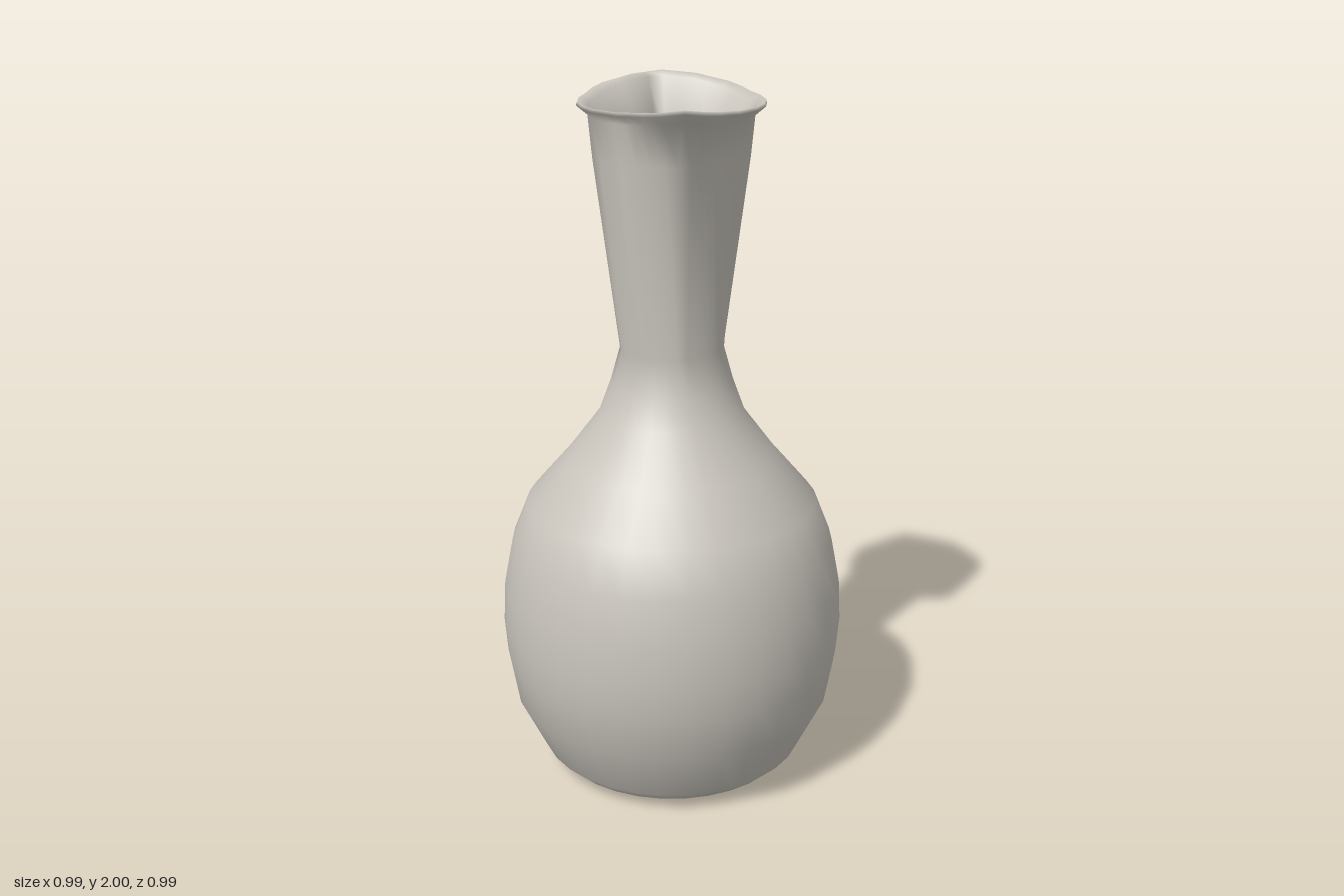
import * as THREE from 'three';

const SIDES = 32;
const rad = THREE.MathUtils.degToRad;

// Corners are [degrees, radius], measured from the front (0) towards the left (90).
const mirrored = (half) => [
  ...half,
  ...half.filter(([d]) => d > 0 && d < 180).reverse().map(([d, r]) => [360 - d, r]),
];
const LIP = mirrored([[0, 0.312], [9, 0.307], [76, 0.25], [95, 0.262], [131, 0.257], [180, 0.27]]);
const LIP_HEIGHTS = [1.965, 1.95, 1.942, 1.942, 1.95, 1.96, 1.978, 1.995, 2.0];
const NECK_TOP = [[0, 0.183], [90, 0.215], [135, 0.213], [180, 0.218], [270, 0.215], [315, 0.213]];
const THROAT = [[0, 0.172], [90, 0.152], [180, 0.17], [290, 0.165]];
const GULLET = [[45, 0.122], [180, 0.126], [315, 0.122]];

// Radius at an angle of an outline with straight edges between its corners.
function outlineRadius(corners, degrees) {
  const n = corners.length;
  for (let i = 0; i < n; i++) {
    const [d0, r0] = corners[i], [d1, r1] = corners[(i + 1) % n];
    const span = (d1 - d0 + 360) % 360, t = (degrees - d0 + 360) % 360;
    if (t <= span) {
      return (r0 * r1 * Math.sin(rad(span)))
        / (r0 * Math.sin(rad(t)) + r1 * Math.sin(rad(span - t)));
    }
  }
  return corners[0][1];
}

// Lip height runs from the front spout up to the back.
function lipHeight(degrees) {
  const t = (Math.min(degrees, 360 - degrees) / 180) * (LIP_HEIGHTS.length - 1);
  const i = Math.min(Math.floor(t), LIP_HEIGHTS.length - 2);
  return THREE.MathUtils.lerp(LIP_HEIGHTS[i], LIP_HEIGHTS[i + 1], t - i);
}

// Each kind of ring returns [radius, height] for an angle.
const round = (y, r) => () => [r, y];
const outline = (y, corners) => (d) => [outlineRadius(corners, d), y];
const lip = (dr, dy) => (d) => [outlineRadius(LIP, d) + dr, lipHeight(d) + dy];

// Skin a list of rings into one smooth surface.
function skin(rings) {
  const pos = [], index = [];
  for (const ring of rings) {
    for (let j = 0; j < SIDES; j++) {
      const d = (j / SIDES) * 360;
      const [r, y] = ring(d);
      pos.push(r * Math.sin(rad(d)), y, r * Math.cos(rad(d)));
    }
  }
  for (let i = 0; i < rings.length - 1; i++) {
    for (let j = 0; j < SIDES; j++) {
      const a = i * SIDES + j, b = i * SIDES + ((j + 1) % SIDES);
      index.push(a, b, a + SIDES, b, b + SIDES, a + SIDES);
    }
  }
  const g = new THREE.BufferGeometry();
  g.setAttribute('position', new THREE.Float32BufferAttribute(pos, 3));
  g.setIndex(index);
  g.computeVertexNormals();
  return g;
}

export function createModel() {
  const group = new THREE.Group();
  group.name = 'vase';
  const clay = new THREE.MeshStandardMaterial({ color: 0xc8c4bc, side: THREE.DoubleSide });
  clay.name = 'pale stone';

  const vase = new THREE.Mesh(skin([
    // flat base
    round(0, 0.0001), round(0, 0.2), round(0.003, 0.3),
    // round belly
    round(0.025, 0.35), round(0.06, 0.387), round(0.22, 0.465), round(0.35, 0.488),
    round(0.45, 0.496), round(0.57, 0.49), round(0.7, 0.465), round(0.82, 0.417),
    // shoulder
    round(0.95, 0.305), round(1.08, 0.207), round(1.17, 0.174),
    // neck, widening from round to a flat-sided top
    round(1.27, 0.146), outline(1.8, NECK_TOP),
    // flared pouring lip
    lip(-0.03, -0.035), lip(0, -0.01), lip(-0.003, 0), lip(-0.03, -0.012),
    // inside of the neck
    outline(1.83, THROAT), outline(1.27, GULLET),
    // hollow inside
    round(1.05, 0.17), round(0.82, 0.38), round(0.45, 0.46), round(0.2, 0.43),
    round(0.05, 0.33), round(0.03, 0.2), round(0.03, 0.0001),
  ]), clay);
  vase.name = 'vaseBody';
  group.add(vase);
  return group;
}
